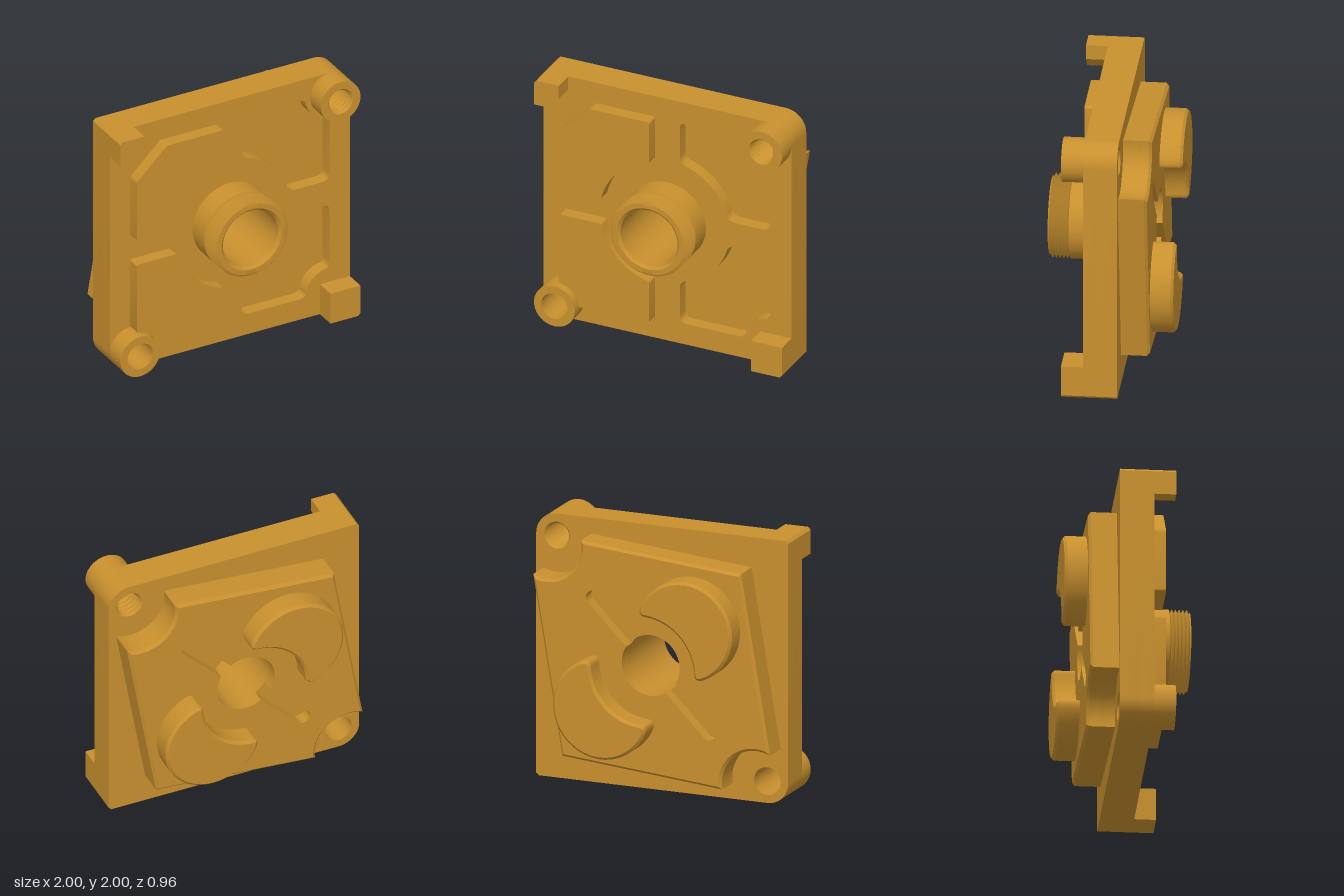
import * as THREE from 'three';
import { toCreasedNormals } from 'three/addons/utils/BufferGeometryUtils.js';

const V = (x, y) => new THREE.Vector2(x, y);

// Points along an arc, angles in degrees
function arc(cx, cy, r, a0, a1, n = 16) {
  return Array.from({ length: n + 1 }, (_, i) => {
    const a = THREE.MathUtils.degToRad(a0 + (a1 - a0) * i / n);
    return V(cx + r * Math.cos(a), cy + r * Math.sin(a));
  });
}
const circle = (x, y, r, n = 48) => arc(x, y, r, 0, 360, n).slice(0, -1);

// Rounds the sharp corners of an outline, leaves sampled arcs alone
function roundCorners(pts, radius) {
  const out = [];
  pts.forEach((p, i) => {
    const a = pts[(i + pts.length - 1) % pts.length], b = pts[(i + 1) % pts.length];
    const da = a.clone().sub(p), db = b.clone().sub(p);
    const turn = Math.PI - Math.acos(THREE.MathUtils.clamp(da.dot(db) / (da.length() * db.length()), -1, 1));
    if (turn < 0.5) { out.push(p); return; }
    const s = p.clone().addScaledVector(da.clone().normalize(), Math.min(radius, 0.9 * da.length()));
    const e = p.clone().addScaledVector(db.clone().normalize(), Math.min(radius, 0.9 * db.length()));
    out.push(...new THREE.QuadraticBezierCurve(s, p, e).getPoints(6));
  });
  return out;
}

// Moves a counter-clockwise outline inward
function inset(pts, d) {
  return pts.map((p, i) => {
    const a = pts[(i + pts.length - 1) % pts.length], b = pts[(i + 1) % pts.length];
    const e1 = p.clone().sub(a).normalize(), e2 = b.clone().sub(p).normalize();
    const n1 = V(-e1.y, e1.x), n2 = V(-e2.y, e2.x);
    return p.clone().addScaledVector(n1.clone().add(n2), d / (1 + n1.dot(n2)));
  });
}

export function createModel() {
  const group = new THREE.Group();
  const brass = new THREE.MeshStandardMaterial({ color: 0xc8902e, side: THREE.DoubleSide });
  brass.name = 'brass';

  const add = (name, geometry) => {
    const mesh = new THREE.Mesh(toCreasedNormals(geometry, 0.5), brass);
    mesh.name = name;
    group.add(mesh);
    return mesh;
  };

  // Flat part between two depths
  const slab = (name, pts, z0, z1, holes = []) => {
    const shape = new THREE.Shape(pts);
    shape.holes = holes.map(h => new THREE.Path(h));
    const g = new THREE.ExtrudeGeometry(shape, { depth: z1 - z0, bevelEnabled: false });
    return add(name, g.translate(0, 0, z0));
  };

  // Flat part with a chamfer around its back edge
  const chamferedSlab = (name, pts, zBack, zFront, c, holes = []) => {
    const small = inset(pts, c);
    slab(name, pts, zBack + c, zFront, holes);
    slab(name + 'Face', small, zBack, zBack + c, holes);
    const pos = [];
    pts.forEach((p, i) => {
      const j = (i + 1) % pts.length, q = pts[j], ps = small[i], qs = small[j];
      const A = [p.x, p.y, zBack + c], B = [q.x, q.y, zBack + c];
      const C = [qs.x, qs.y, zBack], D = [ps.x, ps.y, zBack];
      pos.push(...A, ...C, ...B, ...A, ...D, ...C);
    });
    const g = new THREE.BufferGeometry();
    g.setAttribute('position', new THREE.Float32BufferAttribute(pos, 3));
    g.computeVertexNormals();
    add(name + 'Chamfer', g);
  };

  // Turned part around the z direction, profile as [radius, z]
  const turned = (name, profile, x, y) => {
    const g = new THREE.LatheGeometry(profile.map(p => V(...p)), 64);
    add(name, g.rotateX(Math.PI / 2).translate(x, y, 0));
  };

  const bore = circle(0, 1, 0.23, 64);
  const screwHoles = [circle(0.835, 1.835, 0.102), circle(-0.835, 0.165, 0.105)];

  // Quarter panel outline: rounded recess at the hub, chamfer or notch at the corner
  const panel = (sx, sy, notch, radius) => {
    const corner = notch ? arc(0.83, 0.83, notch, 180, 270, 8) : [V(0.58, 0.83), V(0.83, 0.59)];
    const pts = [V(0.1, 0.83), ...corner, V(0.83, 0.1), ...arc(0, 0, 0.5, 11.5, 78.5, 10)];
    return roundCorners(pts, radius).map(p => V(sx * p.x, 1 + sy * p.y));
  };

  // Main plate, with two pockets in its front layer
  const plate = [
    V(-1, 1.98), ...arc(-0.835, 0.165, 0.165, 180, 270), V(0.98, 0), V(1, 0.02),
    ...arc(0.835, 1.835, 0.165, 0, 90), V(-0.98, 2)];
  const pockets = [panel(1, 1, 0.2, 0.06), panel(1, -1, 0.2, 0.06)];
  slab('plateBack', plate, -0.1, 0.05, [bore, ...screwHoles]);
  slab('plateFront', plate, 0.05, 0.15, [bore, ...screwHoles, ...pockets]);

  // Raised front panels
  slab('raisedPanelUpper', panel(-1, 1, 0, 0.02), 0.15, 0.25);
  slab('raisedPanelLower', panel(-1, -1, 0.16, 0.02), 0.15, 0.25);

  // Screw bosses and corner feet
  slab('screwBossUpper', circle(0.835, 1.835, 0.165), 0.15, 0.31, [screwHoles[0]]);
  slab('screwBossLower', circle(-0.835, 0.165, 0.165), 0.15, 0.31, [screwHoles[1]]);
  slab('footUpper', [V(-1, 1.8), V(-0.89, 1.8), V(-0.8, 1.89), V(-0.8, 2), V(-0.98, 2), V(-1, 1.98)], 0.15, 0.31);
  slab('footLower', [V(0.75, 0), V(0.98, 0), V(1, 0.02), V(1, 0.25), V(0.75, 0.25)], 0.15, 0.31);

  // Thread inside the upper screw hole
  const innerThread = [];
  for (let i = 0; i <= 20; i++) innerThread.push([i % 2 ? 0.087 : 0.102, 0.31 - i * 0.0205]);
  turned('screwThread', innerThread, 0.835, 1.835);

  // Hub with an outer thread and a chamfered mouth
  const hub = [[0.31, 0.15], [0.31, 0.325], [0.28, 0.335]];
  for (let i = 0; i < 5; i++) hub.push([0.31, 0.35 + i * 0.027], [0.282, 0.3635 + i * 0.027]);
  hub.push([0.29, 0.48], [0.25, 0.48], [0.23, 0.46], [0.23, 0.15]);
  turned('threadedHub', hub, 0, 1);

  // Back pad: slanted quadrilateral, cut away around the screw holes, with a slot through the bore
  const pad = [
    V(0.71, 0.23), ...arc(0.83, 1.83, 0.273, -66.2, -190.5),
    V(-0.71, 1.77), ...arc(-0.83, 0.17, 0.273, 113.8, -10.5)];
  const slot = [];
  for (const a of [45, 225]) {
    const t = THREE.MathUtils.degToRad(a);
    slot.push(...arc(0.65 * Math.cos(t), 1 + 0.65 * Math.sin(t), 0.055, a - 90, a + 90, 10));
    slot.push(...arc(0, 1, 0.23, a + 13.8, a + 166.2, 24));
  }
  slab('backPadBase', pad, -0.21, -0.1, [bore]);
  chamferedSlab('backPad', pad, -0.31, -0.21, 0.02, [slot]);

  // Two crescent lugs on the back pad
  const lug = roundCorners([
    ...arc(-0.33, 1.33, 0.38, 24, 246, 36), V(-0.41, 0.96),
    ...arc(0, 1, 0.41, 176, 94, 20), V(0.04, 1.41)], 0.07);
  chamferedSlab('lugUpper', lug, -0.48, -0.31, 0.02);
  chamferedSlab('lugLower', lug.map(p => V(-p.x, 2 - p.y)), -0.48, -0.31, 0.02);

  return group;
}
